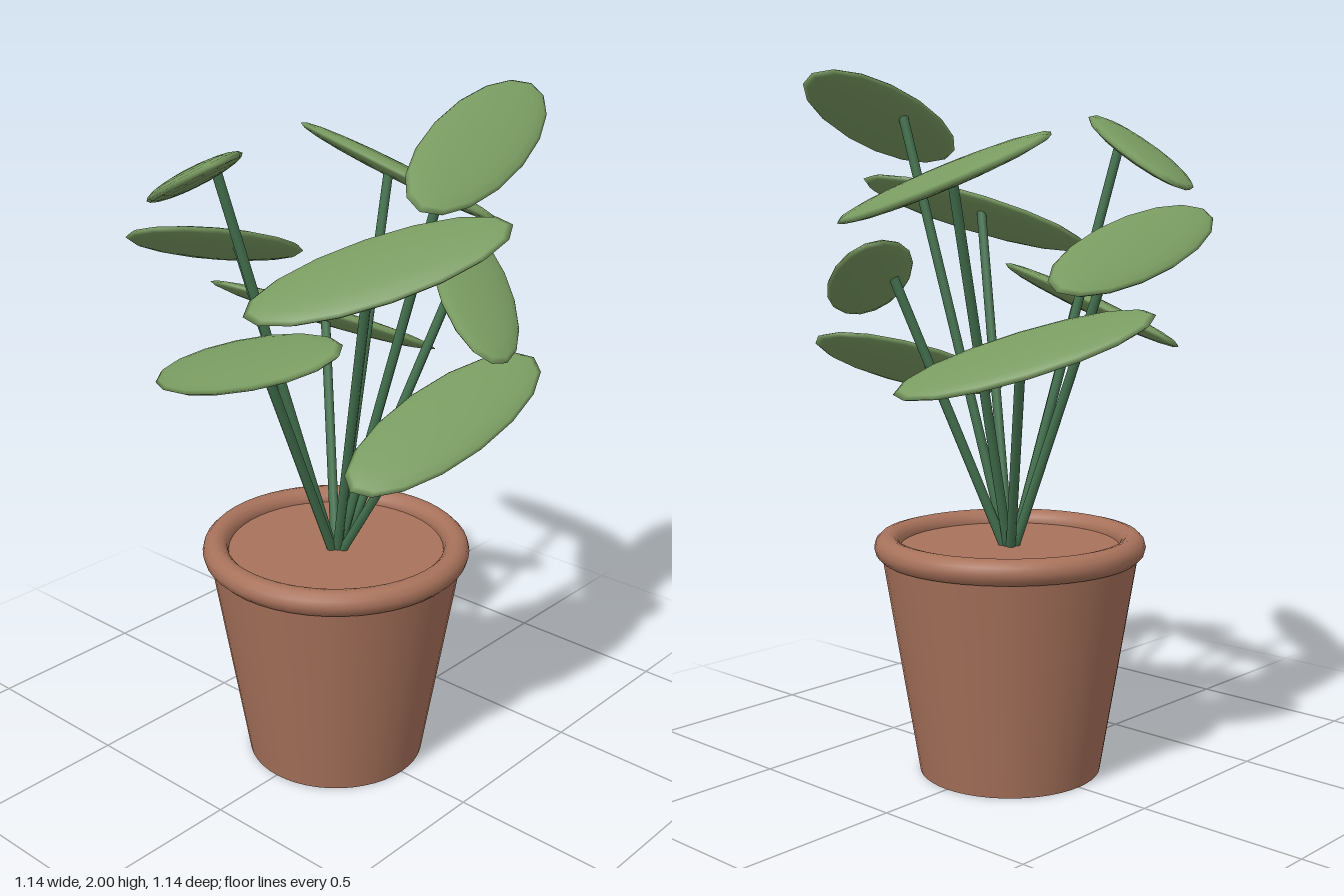
import * as THREE from 'three';

export function createModel() {
  const model = new THREE.Group();
  model.name = 'pottedPlant';

  const terracotta = new THREE.MeshStandardMaterial({ color: 0xa8725b });
  terracotta.name = 'terracotta';
  const leafGreen = new THREE.MeshStandardMaterial({ color: 0x789a60 });
  leafGreen.name = 'leaf green';
  const stemGreen = new THREE.MeshStandardMaterial({ color: 0x44724f });
  stemGreen.name = 'stem green';

  const add = (parent, geometry, material, name) => {
    const mesh = new THREE.Mesh(geometry, material);
    mesh.name = name;
    parent.add(mesh);
    return mesh;
  };

  // Tapered pot; its closed top is the soil surface inside the rim
  const potHeight = 0.667;
  add(model, new THREE.CylinderGeometry(0.375, 0.265, potHeight, 48), terracotta, 'pot')
    .position.y = potHeight / 2;

  // Rounded rim
  const rim = add(model, new THREE.TorusGeometry(0.355, 0.038, 12, 48), terracotta, 'rim');
  rim.rotation.x = Math.PI / 2;
  rim.position.y = potHeight;

  // Nine stems and leaves rising in a golden-angle spiral
  const up = new THREE.Vector3(0, 1, 0);
  const root = new THREE.Vector3(0, 0.62, 0);
  const leafGeometry = new THREE.SphereGeometry(1, 16, 10);
  leafGeometry.scale(0.129, 0.026, 0.358);

  for (let i = 0; i < 9; i++) {
    const angle = i * 2.4;
    const height = 1.165 + 0.0904 * i;
    const at = (r, y) => new THREE.Vector3(r * Math.cos(angle), y, -r * Math.sin(angle));

    const branch = new THREE.Group();
    branch.name = 'branch' + (i + 1);
    model.add(branch);

    // Straight stem from the soil to the underside of the leaf
    const span = at(0.333, height + 0.01).sub(root);
    const stem = add(branch, new THREE.CylinderGeometry(0.014, 0.014, span.length(), 8), stemGreen, 'stem');
    stem.position.copy(root).addScaledVector(span, 0.5);
    stem.quaternion.setFromUnitVectors(up, span.clone().normalize());

    // Long leaf lying across the stem, drooping outwards and tilted along its length
    const leaf = add(branch, leafGeometry, leafGreen, 'leaf');
    leaf.position.copy(at(0.396, height));
    leaf.rotation.set(0.32, angle, -0.37, 'YZX');
  }

  return model;
}
